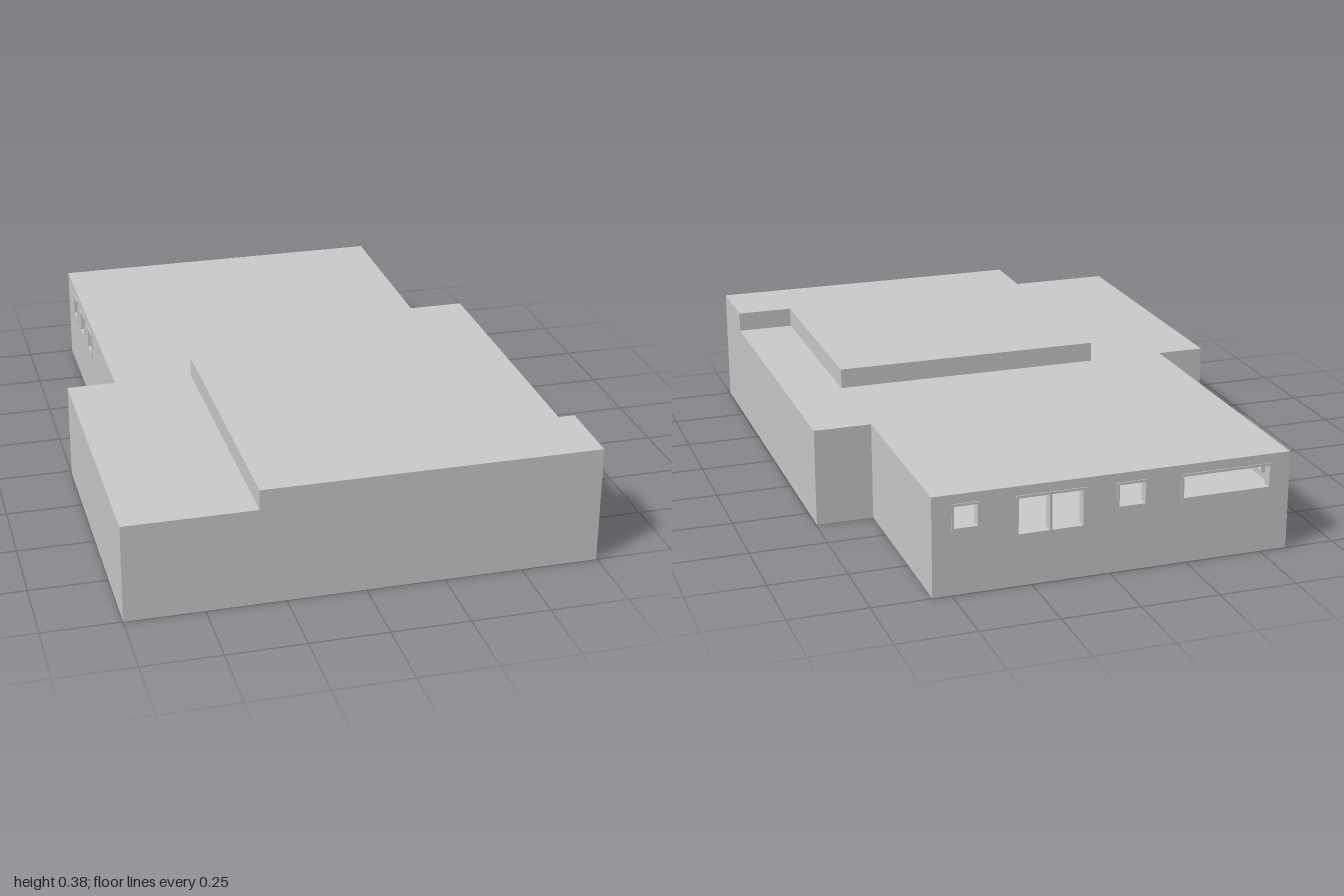
import * as THREE from 'three';

const mat = new THREE.MeshStandardMaterial({ color: 0xcccccc, side: THREE.DoubleSide, flatShading: true });
const FLOOR = 0.165, LOW = 0.32, HIGH = 0.385, BACK = -0.997, SIDE = -0.59;

function add(parent, name, geometry) {
  const mesh = new THREE.Mesh(geometry, mat);
  mesh.name = name;
  parent.add(mesh);
  return mesh;
}

// Path from [x, z] plan points
function plan(points, Type = THREE.Shape) {
  return new Type(points.map(([x, z]) => new THREE.Vector2(x, -z)));
}

// Horizontal surface at a height
function slab(shape, y) {
  return new THREE.ShapeGeometry(shape).rotateX(-Math.PI / 2).translate(0, y, 0);
}

// Upright sheet that follows plan points
function sheet(points, y0, y1, closed) {
  const pos = [];
  const n = closed ? points.length : points.length - 1;
  for (let i = 0; i < n; i++) {
    const [ax, az] = points[i], [bx, bz] = points[(i + 1) % points.length];
    pos.push(ax, y0, az, ax, y1, az, bx, y1, bz, ax, y0, az, bx, y1, bz, bx, y0, bz);
  }
  const g = new THREE.BufferGeometry();
  g.setAttribute('position', new THREE.Float32BufferAttribute(pos, 3));
  g.computeVertexNormals();
  return g;
}

function rect(u0, u1, y0, y1, Type = THREE.Path) {
  return new Type([[u0, y0], [u1, y0], [u1, y1], [u0, y1]].map(p => new THREE.Vector2(...p)));
}

// Flat wall with framed openings; local +z is the outside
function windowWall(name, u0, u1, openings) {
  const group = new THREE.Group();
  group.name = name;
  const wall = rect(u0, u1, 0, LOW, THREE.Shape);
  const t = 0.008;
  for (const [a, b, y0, y1, panes] of openings) {
    wall.holes.push(rect(a, b, y0, y1));
    const frame = rect(a, b, y0, y1, THREE.Shape);
    const w = (b - a - t) / panes;
    for (let i = 0; i < panes; i++) {
      frame.holes.push(rect(a + t + i * w, a + (i + 1) * w, y0 + t, y1 - t));
    }
    const g = new THREE.ExtrudeGeometry(frame, { depth: 0.033, bevelEnabled: false });
    add(group, 'windowFrame', g.translate(0, 0, -0.03));
  }
  add(group, name + 'Panel', new THREE.ShapeGeometry(wall));
  return group;
}

export function createModel() {
  const model = new THREE.Group();
  model.name = 'building';

  // Plain outer walls
  const outer = [[0.56, BACK], [0.56, -0.35], [0.747, -0.35], [0.747, 1], [-0.75, 1], [-0.75, 0.02], [SIDE, 0.02]];
  add(model, 'outerWalls', sheet(outer, 0, LOW, false));

  // Back wall: small window, double door, small window, wide window
  const back = windowWall('backWall', -0.56, -SIDE, [
    [-0.5, -0.41, 0.205, 0.29, 1], [-0.3, -0.08, 0.16, 0.29, 2],
    [0.02, 0.12, 0.205, 0.29, 1], [0.23, 0.53, 0.205, 0.29, 1],
  ]);
  back.rotation.y = Math.PI;
  back.position.z = BACK;

  // Side wall with three small windows
  const side = windowWall('sideWall', BACK, 0.02,
    [-0.87, -0.71, -0.55].map(z => [z, z + 0.09, 0.205, 0.29, 1]));
  side.rotation.y = -Math.PI / 2;
  side.position.x = SIDE;
  model.add(back, side);

  // Low roof wraps round the raised roof
  const raised = [[0.56, 0.02], [0.56, 0.755], [0.747, 0.755], [0.747, 1], [-0.333, 1], [-0.333, 0.02]];
  const low = [[SIDE, BACK], [0.56, BACK], [0.56, -0.35], [0.747, -0.35], [0.747, 0.755], [0.56, 0.755],
    [0.56, 0.02], [-0.333, 0.02], [-0.333, 1], [-0.75, 1], [-0.75, 0.02], [SIDE, 0.02]];
  add(model, 'lowRoof', slab(plan(low), LOW));
  add(model, 'raisedRoof', slab(plan(raised), HIGH));
  add(model, 'raisedRoofEdge', sheet(raised, LOW, HIGH, true));

  // Floor with a slot under each hollow partition: x0, x1, z0, z1
  const floor = plan([...outer, [SIDE, BACK]]);
  const partitions = [
    [0.02, 0.04, -0.66, -0.4], [0.02, 0.04, -0.3, -0.02], [0.04, 0.33, 0.01, 0.03],
    [0.03, 0.3, -0.7, -0.68], [0.31, 0.33, -0.5, -0.02], [-0.2, -0.18, -0.66, -0.36],
    [-0.2, -0.18, -0.26, 0.02], [-0.56, -0.2, -0.7, -0.68], [-0.57, -0.3, -0.34, -0.32],
    [-0.58, -0.22, 0.03, 0.05], [-0.73, -0.46, 0.51, 0.53], [-0.73, -0.46, 0.75, 0.77],
    [-0.41, -0.39, 0.2, 0.46], [-0.4, -0.365, 0.72, 0.97], [0.47, 0.49, 0.04, 0.6],
  ];
  for (const [x0, x1, z0, z1] of partitions) {
    const loop = [[x1, z0], [x1, z1], [x0, z1], [x0, z0]];
    floor.holes.push(plan(loop, THREE.Path));
    add(model, 'partition', sheet(loop, FLOOR, LOW, true));
  }
  add(model, 'floor', slab(floor, FLOOR));

  // Lower front floor with a gently wavy edge
  const edge = new THREE.SplineCurve([[-0.35, 0.81], [-0.1, 0.8], [0.17, 0.75], [0.45, 0.74], [0.747, 0.7]]
    .map(p => new THREE.Vector2(...p))).getPoints(16).map(p => [p.x, p.y]);
  add(model, 'frontFloor', slab(plan([...edge, [0.747, 1], [-0.35, 1]]), FLOOR - 0.008));
  add(model, 'frontFloorStep', sheet(edge, FLOOR - 0.008, FLOOR, false));

  return model;
}
